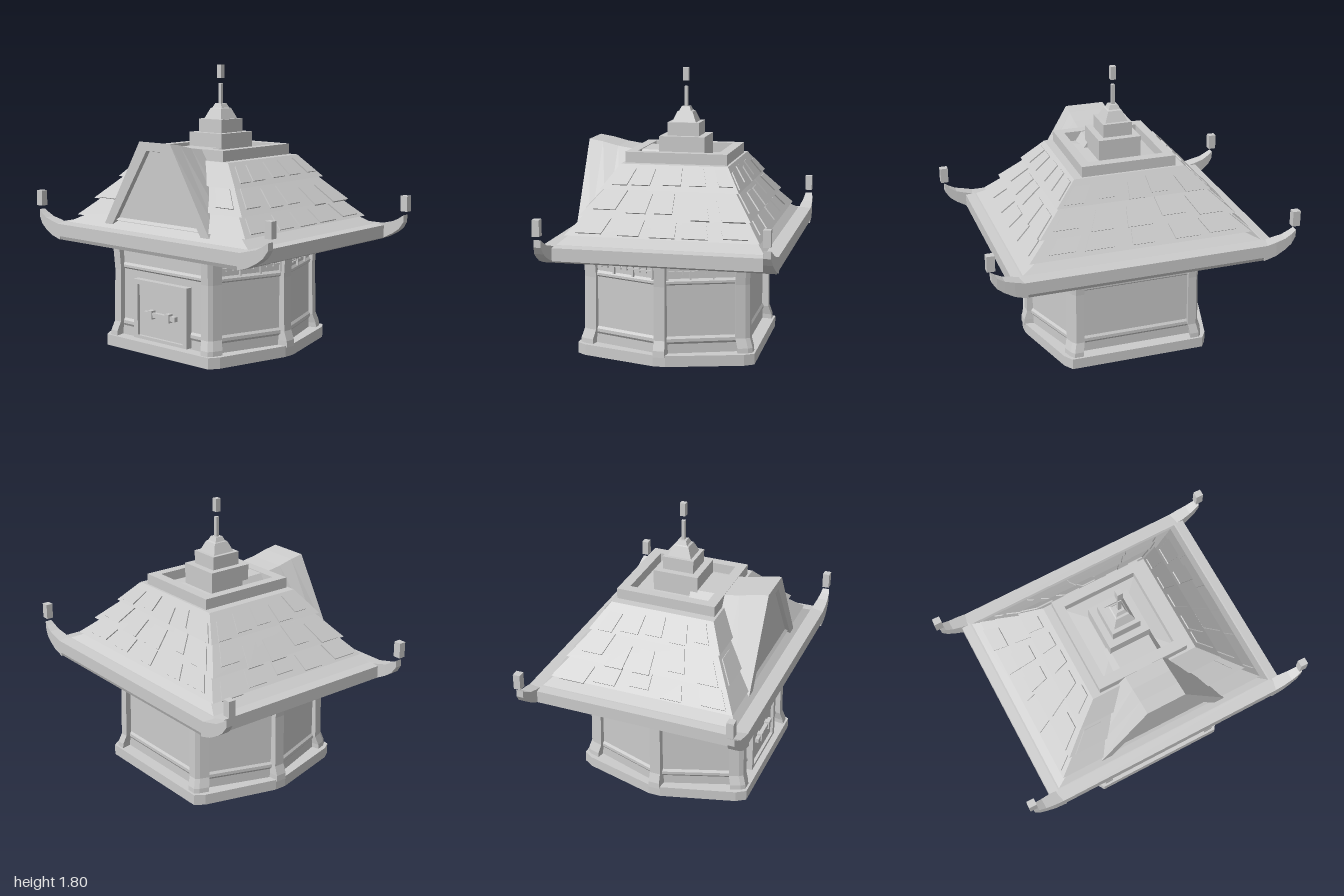
import * as THREE from 'three';

const mat = new THREE.MeshStandardMaterial({ color: 0xcccccc, flatShading: true });
const CZ = 0.04; // centre of the hexagonal body in z

// Skin over rings of points; rings run counter-clockwise around the direction of travel
function loft(rings) {
  const pos = [];
  const tri = (a, b, c) => pos.push(...a, ...b, ...c);
  const n = rings[0].length;
  for (let i = 0; i + 1 < rings.length; i++) {
    for (let j = 0; j < n; j++) {
      const k = (j + 1) % n, p = rings[i], q = rings[i + 1];
      tri(p[j], p[k], q[k]);
      tri(p[j], q[k], q[j]);
    }
  }
  const first = rings[0], last = rings[rings.length - 1];
  for (let j = 1; j + 1 < n; j++) {
    tri(first[0], first[j + 1], first[j]);
    tri(last[0], last[j], last[j + 1]);
  }
  const g = new THREE.BufferGeometry();
  g.setAttribute('position', new THREE.Float32BufferAttribute(pos, 3));
  g.computeVertexNormals();
  return g;
}

const rect = (hx, hz, y) => [[hx, y, hz], [hx, y, -hz], [-hx, y, -hz], [-hx, y, hz]];
// Half plan on +x, front to back, completed by its mirror image
const mirrorPlan = half => [...half, ...half.map(([x, z]) => [-x, z]).reverse()];
const planRing = (plan, y, s = 1) => plan.map(([x, z]) => [x * s, y, CZ + (z - CZ) * s]);
// Mirrors rings in x and z and keeps their faces outward
const flip = (rings, sx, sz) => rings.map(r => {
  const m = r.map(([x, y, z]) => [x * sx, y, z * sz]);
  return sx * sz < 0 ? m.reverse() : m;
});

export function createModel() {
  const model = new THREE.Group();
  const add = (name, geo, parent = model) => {
    const m = new THREE.Mesh(geo, mat);
    m.name = name;
    parent.add(m);
    return m;
  };
  const box = (name, w, h, d, x, y, z, parent) => {
    const m = add(name, new THREE.BoxGeometry(w, h, d), parent);
    m.position.set(x, y, z);
    return m;
  };
  const group = name => {
    const g = new THREE.Group();
    g.name = name;
    model.add(g);
    return g;
  };

  // Chamfered hexagonal plinth
  const plinth = mirrorPlan([[0.44, 0.61], [0.48, 0.55], [0.61, 0.08], [0.61, 0], [0.48, -0.47], [0.44, -0.53]]);
  add('plinth', loft([planRing(plinth, 0), planRing(plinth, 0.07)]));

  // Hexagonal walls with two moulded bands
  const hex = mirrorPlan([[0.4, 0.53], [0.57, CZ], [0.4, -0.45]]);
  const wallProfile = [[0.06, 1], [0.13, 1], [0.145, 1.02], [0.165, 1.02], [0.18, 1],
    [0.505, 1], [0.515, 1.02], [0.53, 1.02], [0.545, 1], [0.68, 1]];
  add('walls', loft(wallProfile.map(([y, s]) => planRing(hex, y, s))));

  // Corner posts, flared at the foot
  const posts = group('posts');
  const cornerPost = [[0.35, 0.575], [0.405, 0.575], [0.425, 0.55], [0.445, 0.49], [0.37, 0.47]];
  const sidePost = [[0.52, 0.085], [0.595, 0.075], [0.595, 0.005], [0.52, -0.005]];
  const postRings = plan => [[0.06, 1.04], [0.1, 1.035], [0.16, 1], [0.5, 0.99], [0.68, 1.01]]
    .map(([y, s]) => planRing(plan, y, s));
  const backPost = cornerPost.map(([x, z]) => [x, 2 * CZ - z]).reverse();
  for (const sx of [1, -1]) {
    for (const plan of [cornerPost, sidePost, backPost]) add('post', loft(flip(postRings(plan), sx, 1)), posts);
  }

  // Lattice under the eaves on every wall but the front
  for (let i = 0; i < 5; i++) {
    const [ax, az] = hex[i], [bx, bz] = hex[i + 1];
    const len = Math.hypot(bx - ax, bz - az) - 0.09;
    const g = group('lattice');
    g.position.set((ax + bx) / 2, 0, (az + bz) / 2);
    g.rotation.y = Math.atan2(-(bz - az), bx - ax) + Math.PI; // local -z faces out
    box('upperRail', len, 0.01, 0.012, 0, 0.625, -0.015, g);
    box('lowerRail', len, 0.01, 0.012, 0, 0.59, -0.015, g);
    for (let k = 0; k < 10; k++) {
      const low = k % 3 ? 0.575 : 0.54;
      box('latticeBar', 0.01, 0.66 - low, 0.014, (k / 9 - 0.5) * len, (0.66 + low) / 2, -0.016, g);
    }
  }

  // Framed door with a bar handle
  const door = group('door');
  const frame = new THREE.Shape([[-0.23, 0.08], [0.23, 0.08], [0.23, 0.46], [-0.23, 0.46]].map(p => new THREE.Vector2(...p)));
  frame.holes.push(new THREE.Path([[-0.195, 0.1], [-0.195, 0.43], [0.195, 0.43], [0.195, 0.1]].map(p => new THREE.Vector2(...p))));
  add('doorFrame', new THREE.ExtrudeGeometry(frame, { depth: 0.05, bevelEnabled: false }), door).position.z = 0.525;
  box('doorPanel', 0.4, 0.34, 0.03, 0, 0.265, 0.54, door);
  box('handleBar', 0.27, 0.03, 0.025, 0, 0.25, 0.57, door);
  for (const s of [1, -1]) box('handleBracket', 0.035, 0.055, 0.04, s * 0.075, 0.25, 0.57, door);

  // Eave slab with a sloping underside
  add('eaves', loft([rect(0.68, 0.64, 0.65), rect(0.78, 0.71, 0.667), rect(0.84, 0.72, 0.69),
    rect(0.84, 0.72, 0.77), rect(0.78, 0.64, 0.775)]));

  // Upturned corner horns: x, bottom, top, inner z, outer z; a small lantern floats above each
  const horn = [[0.76, 0.667, 0.765, 0.64, 0.72], [0.84, 0.69, 0.785, 0.64, 0.72], [0.9, 0.722, 0.8, 0.648, 0.716],
    [0.945, 0.755, 0.825, 0.655, 0.712], [0.975, 0.8, 0.846, 0.66, 0.705]];
  const hornRings = horn.map(([x, b, t, i, o]) => [[x, b, i], [x, t, i], [x, t, o], [x, b, o]]);
  for (const sx of [1, -1]) {
    for (const sz of [1, -1]) {
      add('eaveHorn', loft(flip(hornRings, sx, sz)));
      box('cornerLantern', 0.05, 0.1, 0.045, sx * 0.975, 0.92, sz * 0.683);
    }
  }

  // Stepped roof: half width, half depth and height at the foot and head of each tier
  const tiers = [
    [[0.78, 0.64, 0.77], [0.64, 0.56, 0.84]],
    [[0.72, 0.6, 0.825], [0.58, 0.5, 0.945]],
    [[0.635, 0.53, 0.935], [0.46, 0.4, 1.095]],
    [[0.5, 0.435, 1.08], [0.36, 0.34, 1.22]],
  ];
  tiers.forEach(([a, b]) => add('roofTier', loft([rect(a[0], a[1], a[2]), rect(...b)])));

  // Uneven shingles laid on the upper tiers
  let seed = 7;
  const rand = () => (seed = (seed * 16807) % 2147483647) / 2147483647;
  const shingles = group('shingles');
  for (const [a, b] of tiers.slice(1)) {
    for (let face = 0; face < 4; face++) {
      const alongX = face < 2, sign = face % 2 ? -1 : 1;
      const at = (t, s) => {
        const [x, z, y] = a.map((v, i) => v + (b[i] - v) * s);
        return alongX ? new THREE.Vector3(t * x, y, sign * z) : new THREE.Vector3(sign * x, y, t * z);
      };
      for (let k = 0; k < 5; k++) {
        const t0 = -0.95 + k * 0.39 + rand() * 0.08, t1 = t0 + 0.2 + rand() * 0.08;
        if (face === 0 && Math.min(Math.abs(t0), Math.abs(t1)) < 0.68) continue;
        const s0 = rand() * 0.3 - 0.05, s1 = s0 + 0.65;
        const c = [at(t0, s0), at(t1, s0), at(t1, s1), at(t0, s1)];
        const n = c[1].clone().sub(c[0]).cross(c[3].clone().sub(c[0])).normalize();
        if (n.y < 0) { n.negate(); c.reverse(); }
        const lift = d => c.map(p => p.clone().addScaledVector(n, d).toArray());
        add('shingle', loft([lift(-0.004), lift(0.008)]), shingles);
      }
    }
  }

  // Front gable: recessed trapezoid face, ridge rising towards the front
  const gable = (z, hb, ht, top) => [[-hb, 0.795, z], [hb, 0.795, z], [ht, top, z], [-ht, top, z]];
  add('frontGable', loft([gable(0.1, 0.45, 0.13, 1.28), gable(0.32, 0.45, 0.13, 1.285), gable(0.42, 0.45, 0.13, 1.3),
    gable(0.52, 0.45, 0.13, 1.325), gable(0.61, 0.45, 0.13, 1.34), gable(0.61, 0.38, 0.07, 1.285),
    gable(0.585, 0.37, 0.065, 1.28)]));

  // Crown rim with a sunken centre
  add('crownRim', loft([rect(0.305, 0.325, 1.2), rect(0.305, 0.325, 1.288), rect(0.245, 0.26, 1.288),
    rect(0.245, 0.26, 1.225), rect(0.14, 0.145, 1.235)]));

  // Stepped finial, spire and floating cap
  box('finialBase', 0.275, 0.15, 0.295, 0, 1.295, 0);
  box('finialBlock', 0.19, 0.09, 0.205, 0, 1.41, 0);
  add('finialTaper', loft([rect(0.075, 0.08, 1.45), rect(0.045, 0.05, 1.52), rect(0.038, 0.038, 1.525), rect(0.026, 0.026, 1.552)]));
  box('spire', 0.022, 0.14, 0.022, 0, 1.61, 0);
  box('spireCap', 0.035, 0.085, 0.035, 0, 1.757, 0);
  return model;
}
